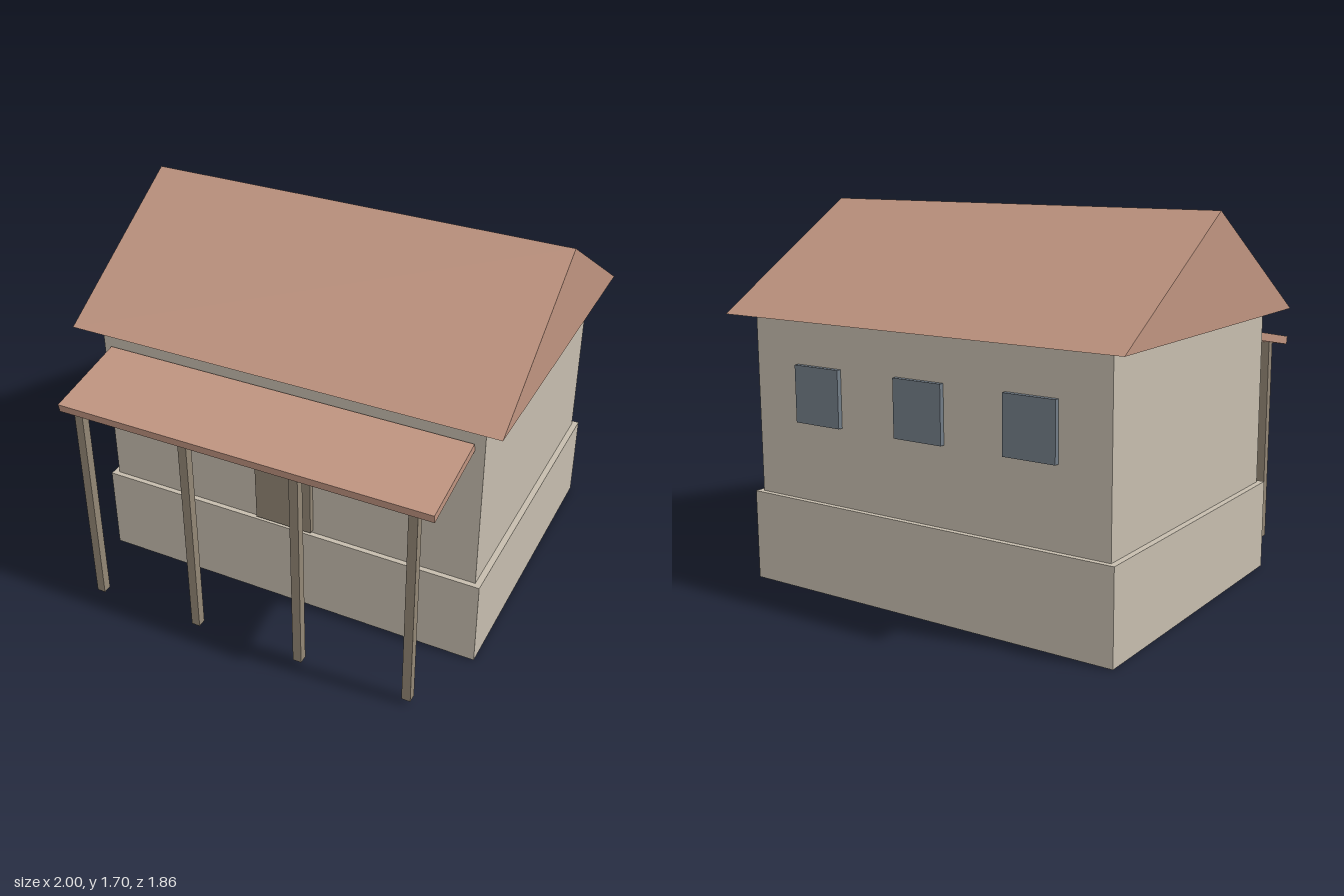
import * as THREE from 'three';

export function createModel() {
  const house = new THREE.Group();
  house.name = 'house';

  const material = (name, color) => {
    const m = new THREE.MeshStandardMaterial({ color });
    m.name = name;
    return m;
  };
  const plaster = material('plaster', 0xc6bdae);
  const tile = material('roofTile', 0xbf9480);
  const wood = material('wood', 0x928675);
  const glass = material('glass', 0x727d87);

  const box = (name, mat, [w, h, d], [x, y, z]) => {
    const mesh = new THREE.Mesh(new THREE.BoxGeometry(w, h, d), mat);
    mesh.name = name;
    mesh.position.set(x, y, z);
    house.add(mesh);
    return mesh;
  };

  const midZ = -0.158; // the house body sits behind the porch

  // Plinth and walls
  box('plinth', plaster, [1.864, 0.41, 1.408], [0, 0.205, midZ]);
  box('walls', plaster, [1.81, 0.815, 1.36], [0, 0.8125, midZ]);

  // Gable roof: a solid triangle swept along x
  const gable = new THREE.Shape([
    new THREE.Vector2(-0.77, 0),
    new THREE.Vector2(0.77, 0),
    new THREE.Vector2(0, 0.475),
  ]);
  const roofGeometry = new THREE.ExtrudeGeometry(gable, { depth: 2, bevelEnabled: false });
  roofGeometry.translate(0, 0, -1);
  roofGeometry.rotateY(Math.PI / 2);
  const roof = new THREE.Mesh(roofGeometry, tile);
  roof.name = 'roof';
  roof.position.set(0, 1.22, -0.16);
  house.add(roof);

  // Three windows on the front and three on the back
  for (const x of [-0.547, -0.002, 0.543]) {
    box('frontWindow', glass, [0.244, 0.255, 0.03], [x, 0.888, 0.529]);
    box('backWindow', glass, [0.244, 0.255, 0.03], [x, 0.888, -0.845]);
  }

  // Door
  box('door', wood, [0.274, 0.497, 0.04], [-0.002, 0.673, 0.528]);

  // Sloping porch canopy
  const canopy = box('porchCanopy', tile, [1.726, 0.038, 0.41], [-0.002, 1.057, 0.726]);
  canopy.rotation.x = 0.187;

  // Porch posts
  for (const x of [-0.775, -0.26, 0.27, 0.77].map((_, i) => -0.775 + i * 0.515)) {
    box('porchPost', wood, [0.04, 0.985, 0.04], [x, 0.5175, 0.896]);
  }

  return house;
}
